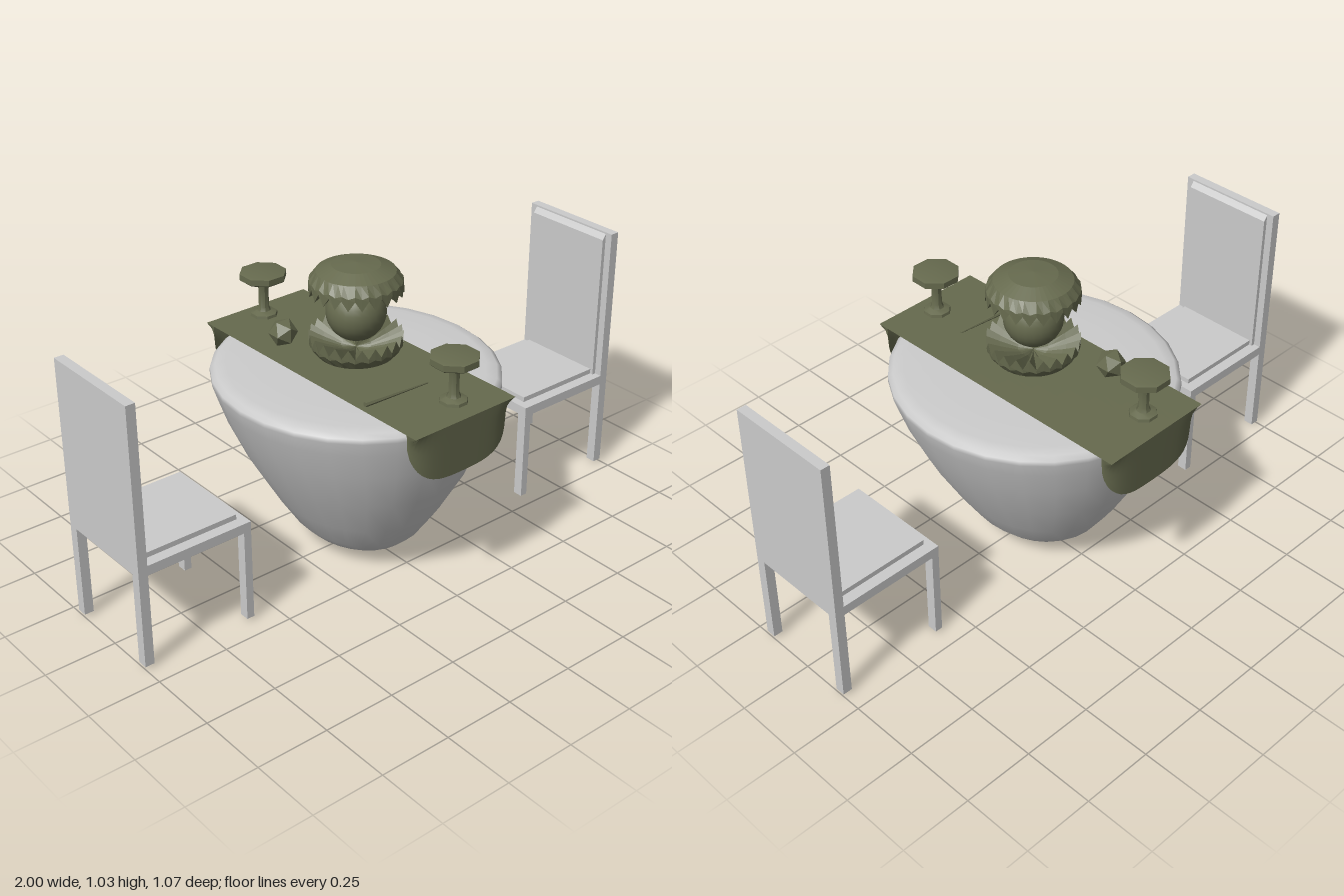
import * as THREE from 'three';
import { mergeVertices, toCreasedNormals } from 'three/addons/utils/BufferGeometryUtils.js';

const grey = new THREE.MeshStandardMaterial({ color: 0xcccccc });
const greyFlat = new THREE.MeshStandardMaterial({ color: 0xcccccc, flatShading: true });
const olive = new THREE.MeshStandardMaterial({ color: 0x666a4e });
const oliveFlat = new THREE.MeshStandardMaterial({ color: 0x666a4e, flatShading: true });
const oliveCloth = new THREE.MeshStandardMaterial({ color: 0x666a4e, side: THREE.DoubleSide });

function add(parent, name, geometry, material, x = 0, y = 0, z = 0) {
  const mesh = new THREE.Mesh(geometry, material);
  mesh.name = name;
  mesh.position.set(x, y, z);
  parent.add(mesh);
  return mesh;
}

const box = (parent, name, w, h, d, x, y, z) =>
  add(parent, name, new THREE.BoxGeometry(w, h, d), greyFlat, x, y, z);

const profile = (pairs) => pairs.map(([r, y]) => new THREE.Vector2(r, y));

// Moves every vertex of a geometry by a rule
function reshape(geometry, rule) {
  const p = geometry.attributes.position;
  const v = new THREE.Vector3();
  for (let i = 0; i < p.count; i++) {
    rule(v.fromBufferAttribute(p, i), i);
    p.setXYZ(i, v.x, v.y, v.z);
  }
  return geometry;
}

// Smooth tub-shaped table, its foot longer in z than in x
function tableGeometry() {
  const g = new THREE.LatheGeometry(profile([
    [0, 0], [0.06, 0.003], [0.12, 0.022], [0.165, 0.055], [0.205, 0.098], [0.27, 0.2],
    [0.355, 0.35], [0.42, 0.49], [0.455, 0.585], [0.472, 0.635], [0.471, 0.652],
    [0.455, 0.664], [0.42, 0.67], [0.3, 0.674], [0, 0.675],
  ]), 28);
  reshape(g, (v) => { v.z *= 1.05 + 0.24 * Math.max(0, 1 - v.y / 0.62); });
  g.deleteAttribute('uv');
  g.deleteAttribute('normal');
  const merged = mergeVertices(g, 1e-4);
  merged.computeVertexNormals();
  return merged;
}

// Cloth strip: flat middle, a round-cornered flap hanging at each end
function runnerGeometry() {
  const g = new THREE.PlaneGeometry(2, 2, 24, 20);
  reshape(g, (v) => {
    const u = Math.sin(v.x * Math.PI / 2);
    const s = Math.sign(v.y);
    const t = Math.max(0, (Math.abs(v.y) - 0.6) / 0.4);
    const depth = 0.187 * Math.cbrt(Math.max(0, 1 - Math.abs(u) ** 3));
    const curl = 0.035 * Math.abs(u) ** 6 * Math.min(1, t * 3) + 0.006 * t;
    const z = s * (Math.min(1, Math.abs(v.y) / 0.6) * 0.532 - curl);
    v.set(u * 0.212, -depth * t, -z);
  });
  return toCreasedNormals(g, 0.7);
}

// Pleated bowl with a toothed rim
function bowlGeometry(teeth = 22) {
  const rows = [[0, 0], [0.08, 0.007], [0.13, 0.028], [0.153, 0.06], [0.155, 0.088],
    [0.11, 0.07], [0.05, 0.05], [0, 0.045]];
  const wave = [0, 0, 0, 0.004, 0.017, 0.012, 0.005, 0];
  const g = new THREE.LatheGeometry(profile(rows), teeth * 2);
  return reshape(g, (v, i) => {
    const row = i % rows.length;
    const column = Math.floor(i / rows.length);
    v.y += wave[row] * (column % 2 ? -1 : 1);
  });
}

// Eight-sided footed stand
function addStand(parent, name, x, z) {
  const g = new THREE.LatheGeometry(profile([
    [0, 0], [0.048, 0], [0.046, 0.01], [0.024, 0.018], [0.018, 0.032], [0.018, 0.115],
    [0.024, 0.132], [0.076, 0.134], [0.082, 0.139], [0.082, 0.16], [0.07, 0.163], [0, 0.163],
  ]), 8, Math.PI / 8);
  add(parent, name, toCreasedNormals(g, 0.7), olive, x, 0.692, z);
}

// Chair with its back at +x, centred on z
function makeChair(name) {
  const chair = new THREE.Group();
  chair.name = name;
  for (const side of [-1, 1]) {
    box(chair, 'frontLeg', 0.027, 0.33, 0.035, 0.599, 0.175, side * 0.1765);
    box(chair, 'backLeg', 0.033, 0.33, 0.035, 0.9835, 0.175, side * 0.1765);
  }
  box(chair, 'seat', 0.382, 0.034, 0.388, 0.776, 0.353, 0);
  box(chair, 'cushion', 0.34, 0.018, 0.312, 0.783, 0.379, 0);
  box(chair, 'backrest', 0.033, 0.586, 0.388, 0.9835, 0.63, 0);

  // Back pad with a sloped top edge
  const side = new THREE.Shape(profile([[0.968, 0.37], [0.968, 0.918], [0.953, 0.897], [0.953, 0.37]]));
  const pad = new THREE.ExtrudeGeometry(side, { depth: 0.335, bevelEnabled: false });
  add(chair, 'backPad', pad, greyFlat, 0, 0, -0.1675);
  return chair;
}

export function createModel() {
  const model = new THREE.Group();
  model.name = 'diningSet';

  add(model, 'table', tableGeometry(), grey, -0.016, 0, 0);
  add(model, 'tableRunner', runnerGeometry(), oliveCloth, -0.016, 0.681, -0.006).rotation.y = 0.012;

  // Centrepiece: ball held between two toothed bowls
  const centrepiece = new THREE.Group();
  centrepiece.name = 'centrepiece';
  centrepiece.position.set(-0.018, 0, 0.005);
  add(centrepiece, 'lowerBowl', bowlGeometry(), oliveFlat, 0, 0.685, 0);
  add(centrepiece, 'upperBowl', bowlGeometry(), oliveFlat, 0, 1.03, 0).rotation.x = Math.PI;
  add(centrepiece, 'ball', new THREE.SphereGeometry(0.1, 24, 16), olive, 0, 0.86, 0);
  model.add(centrepiece);

  addStand(model, 'frontStand', 0.02, 0.433);
  addStand(model, 'backStand', -0.055, -0.447);
  add(model, 'facetedOrnament', new THREE.IcosahedronGeometry(0.05), oliveFlat, -0.139, 0.731, -0.229);

  // Thin twig lying on the runner, thicker at one end
  const twig = add(model, 'twig', new THREE.CylinderGeometry(0.003, 0.009, 0.25, 6, 6), oliveFlat, -0.078, 0.688, 0.277);
  twig.rotation.set(0, -0.06, -Math.PI / 2);

  // Two chairs facing each other across the table
  const leftChair = makeChair('leftChair');
  leftChair.position.z = 0.013;
  const rightChair = makeChair('rightChair');
  rightChair.rotation.y = Math.PI;
  rightChair.position.z = -0.019;
  model.add(leftChair, rightChair);

  return model;
}
